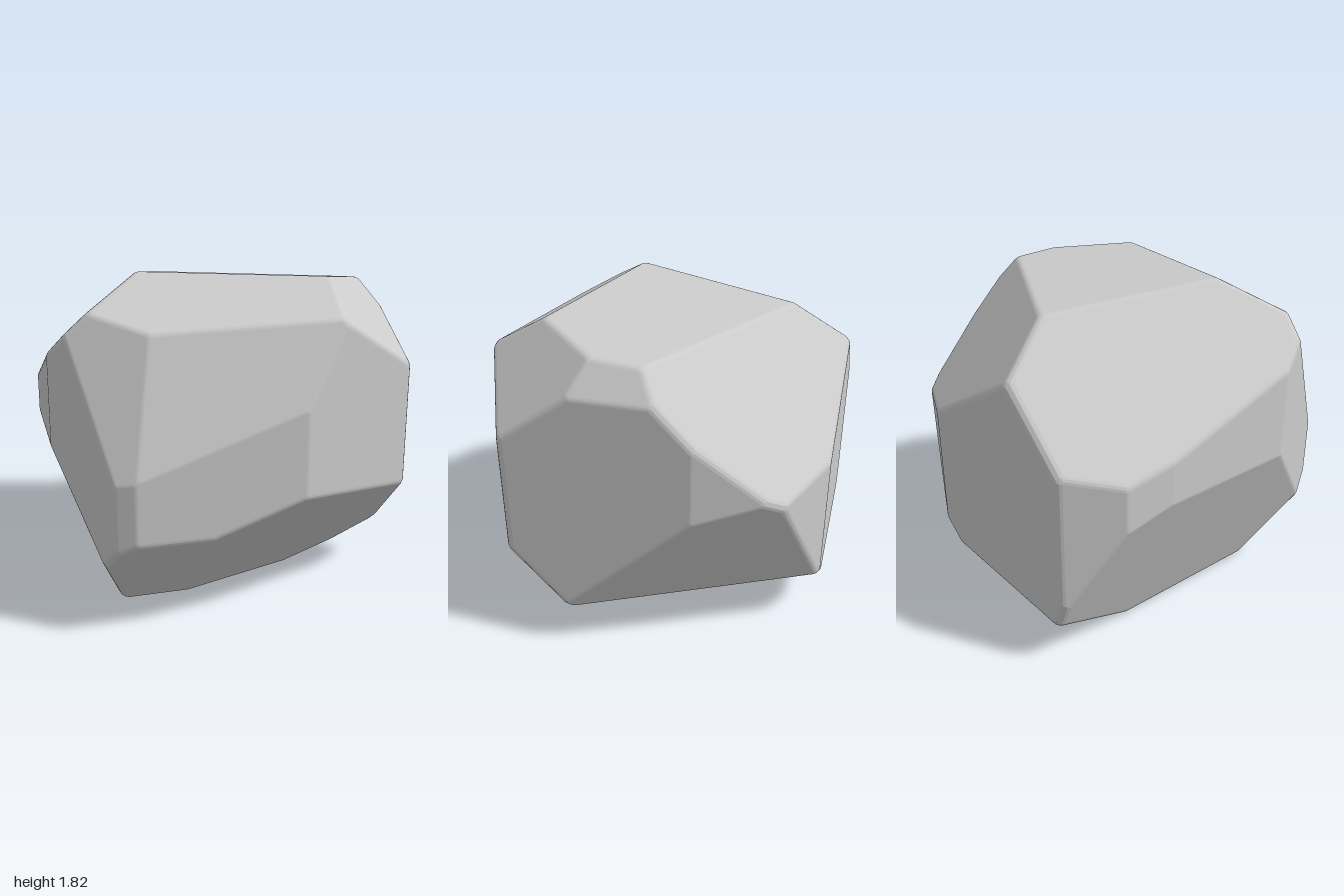
import * as THREE from 'three';
import { ConvexGeometry } from 'three/addons/geometries/ConvexGeometry.js';

const BEVEL = 0.05;

// Cut planes of the boulder: outward direction x, y, z and offset (n . p = d)
const CUTS = [
  [0, -1, 0, 0],                     // underside
  [1, 0, 0, 1], [-1, 0, 0, 1],       // sides
  [0, 0, 1, 1], [0, 0, -1, 1],       // front and back
  [0.0451, 1, -0.0694, 1.7766],      // top
  [-0.0376, 0.359, 0.201, 0.735],    // upper front slope
  [-0.0372, 0.108, 0.3275, 0.444],   // middle front slope
  [-0.168, 0.113, 0.2715, 0.477],    // front slope towards -x
  [0.413, 0, 0.911, 1.014],          // front facet towards +x
  [-0.48, 0, 0.88, 1.192],           // small front corner
  [-0.916, 0, 0.402, 1.067],         // front facet towards -x
  [-0.188, 0.218, -0.0716, 0.469],   // upper slope towards -x
  [0.1424, 0.259, -0.2656, 0.6],     // upper back slope
  [0.1375, 0.154, 0.1095, 0.409],    // upper slope towards +x
  [0.17, 0.12, 0, 0.3584],           // small shoulder
  [0.957, 0, -0.29, 1.064],          // back corners, +x side
  [0.391, 0, -0.92, 1.076],
  [-0.828, 0, -0.562, 1.208],        // back corners, -x side
  [-0.994, 0, -0.11, 1.0435],
  [1, -0.49, -0.455, 0.706],         // lower slope towards +x
  [0.686, -1, -0.352, 0.299],        // undercuts towards +x
  [0.343, -1, 0.023, 0.143],
  [0, -0.693, 0.721, 0.361],         // front undercuts
  [0.085, -0.25, 0.2566, 0.1054],
  [-0.932, -0.363, 0, 0.606],        // undercut towards -x
  [0, -0.914, -0.406, 0.189],        // back undercut
];

// Corners of the solid bounded by the planes, each with the normals meeting there
function findCorners(planes) {
  const corners = [];
  const m = new THREE.Matrix3();
  for (let i = 0; i < planes.length; i++) {
    for (let j = i + 1; j < planes.length; j++) {
      for (let k = j + 1; k < planes.length; k++) {
        const [a, b, c] = [planes[i], planes[j], planes[k]];
        m.set(...a.n.toArray(), ...b.n.toArray(), ...c.n.toArray());
        if (Math.abs(m.determinant()) < 1e-4) continue;
        const p = new THREE.Vector3(a.d, b.d, c.d).applyMatrix3(m.invert());
        if (planes.every((q) => q.n.dot(p) < q.d + 1e-6)) {
          corners.push({ p, normals: [a.n, b.n, c.n] });
        }
      }
    }
  }
  return corners;
}

// Shrink the solid, then swell each corner by the bevel radius to round the edges
function roundedSolid(cuts, radius) {
  const planes = cuts.map(([x, y, z, d]) => {
    const n = new THREE.Vector3(x, y, z);
    const len = n.length();
    return { n: n.divideScalar(len), d: d / len - radius };
  });
  const points = new Map();
  const add = (p, dir) => {
    const q = p.clone().addScaledVector(dir, radius);
    points.set(q.toArray().map((v) => Math.round(v * 2000)).join(), q);
  };
  for (const { p, normals } of findCorners(planes)) {
    normals.forEach((n, i) => {
      add(p, n);
      const next = normals[(i + 1) % 3];
      for (const t of [1 / 3, 2 / 3]) add(p, n.clone().lerp(next, t).normalize());
    });
  }
  return new ConvexGeometry([...points.values()]);
}

export function createModel() {
  const group = new THREE.Group();
  group.name = 'boulder';
  const material = new THREE.MeshStandardMaterial({ color: 0xcccccc, flatShading: true });
  const rock = new THREE.Mesh(roundedSolid(CUTS, BEVEL), material);
  rock.name = 'rock';
  group.add(rock);
  return group;
}
